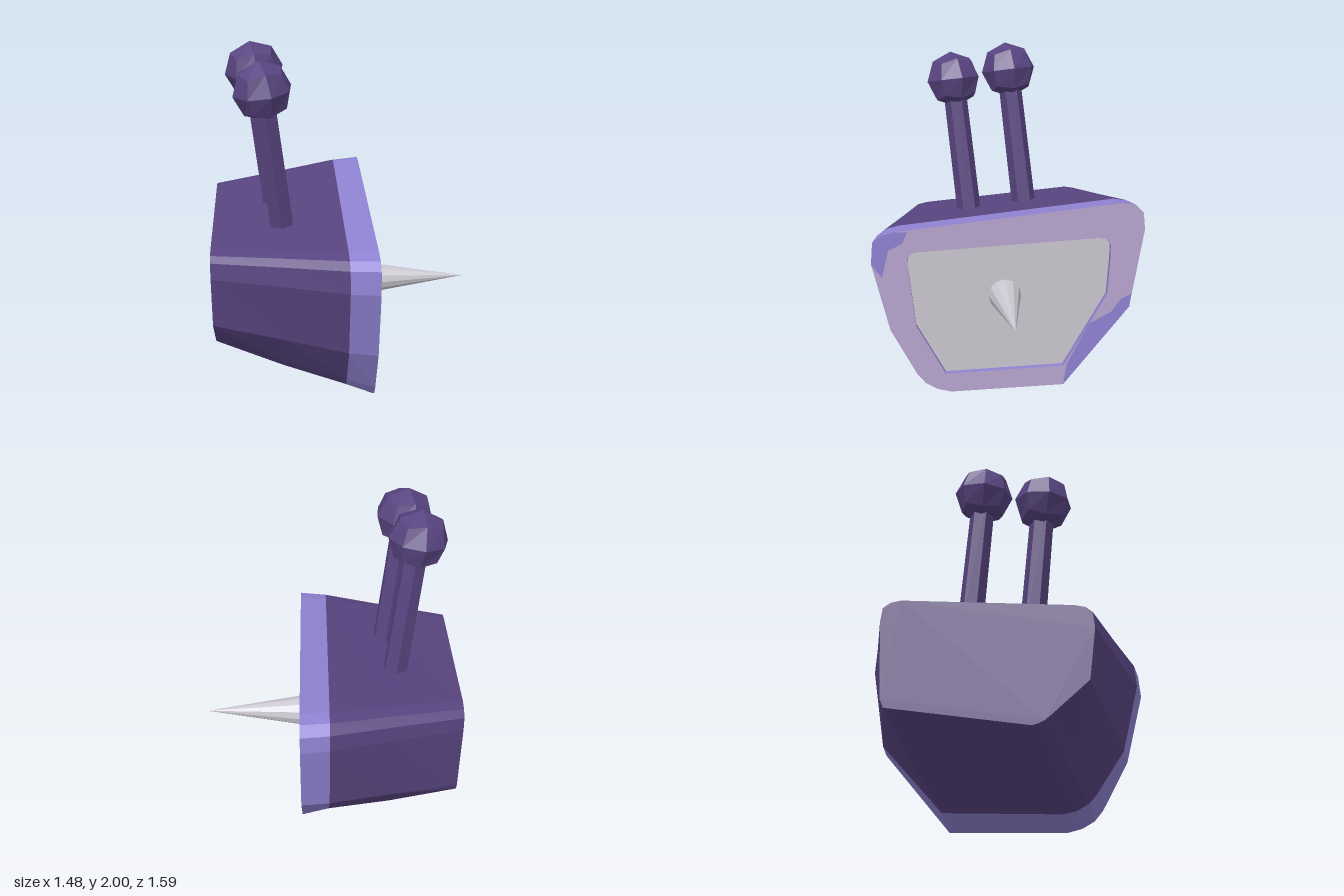
import * as THREE from 'three';

const mat = (name, color, extra = {}) => {
  const m = new THREE.MeshStandardMaterial({ color, ...extra });
  m.name = name;
  return m;
};

// Cross-sections as [z, y], clockwise seen from +x
const RIM = [[.80, .80], [.79, .93], [.74, .97], [.66, .99], [-.65, 1.13], [-.73, 1.12], [-.78, 1.07], [-.79, .97],
  [-.71, .50], [-.32, .02], [.35, 0], [.43, .02], [.50, .06], [.55, .12], [.70, .40]];
const BACK = [[.565, .82], [.555, .91], [.52, .94], [.46, .955], [-.45, 1.04], [-.51, 1.03], [-.55, 1.0], [-.56, .92],
  [-.54, .48], [-.52, .43], [.235, .30], [.27, .31], [.30, .325], [.33, .35], [.53, .53]];
const SCREEN = [[.59, .77], [.59, .83], [.57, .86], [.52, .868], [-.52, .925], [-.57, .915], [-.59, .88], [-.59, .80],
  [-.575, .58], [-.32, .14], [.38, .115], [.55, .42]];
// Worn-through patches on the bezel
const PATCHES = [
  [[.80, .80], [.79, .93], [.74, .97], [.66, .99], [.59, .985], [.62, .92], [.70, .88], [.74, .72]],
  [[-.72, .58], [-.71, .50], [-.32, .02], [-.34, .15], [-.47, .40], [-.60, .47], [-.66, .55]]];

const FRONT_X = .16, SCREEN_X = .12, BACK_X = -.74;
const mix = (a, b, t) => a.map((p, i) => [p[0] + (b[i][0] - p[0]) * t, p[1] + (b[i][1] - p[1]) * t]);

// Flat-faceted skin through sections [{ x, ring }]
function loft(sections) {
  const pos = [];
  for (let s = 0; s < sections.length - 1; s++) {
    const a = sections[s], b = sections[s + 1], n = a.ring.length;
    for (let i = 0; i < n; i++) {
      const j = (i + 1) % n;
      const P = (c, k) => [c.x, c.ring[k][1], c.ring[k][0]];
      pos.push(...P(a, i), ...P(b, i), ...P(a, j), ...P(a, j), ...P(b, i), ...P(b, j));
    }
  }
  const g = new THREE.BufferGeometry();
  g.setAttribute('position', new THREE.Float32BufferAttribute(pos, 3));
  g.computeVertexNormals();
  return g;
}

// Flat plate at x, facing +x (dir 1) or -x (dir -1)
function plate(ring, x, dir = 1, hole) {
  const pts = r => r.map(([z, y]) => new THREE.Vector2(-dir * z, y));
  const shape = new THREE.Shape(pts(ring));
  if (hole) shape.holes.push(new THREE.Path(pts(hole)));
  return new THREE.ShapeGeometry(shape).rotateY(dir * Math.PI / 2).translate(x, 0, 0);
}

export function createModel() {
  const model = new THREE.Group();
  const purple = mat('dark purple', 0x584480, { flatShading: true });
  const violet = mat('violet', 0x8f82d2);
  const lilac = mat('lilac', 0xb7a5d0);
  const grey = mat('pale grey', 0xcac7d0, { flatShading: true });

  const add = (name, geo, material, parent = model) => {
    const m = new THREE.Mesh(geo, material);
    m.name = name;
    parent.add(m);
    return m;
  };

  // Tapered cabinet
  const mid = mix(BACK, RIM, .45), neck = mix(BACK, RIM, .9);
  neck.forEach((p, i) => { if (i >= 9 && i <= 13) p[1] += .03; });
  add('cabinet', loft([{ x: BACK_X, ring: BACK }, { x: -.36, ring: mid }, { x: 0, ring: neck }]), purple);
  add('cabinetBack', plate(BACK, BACK_X, -1), purple);

  // Rim, bezel and recessed screen
  add('rim', loft([{ x: 0, ring: neck }, { x: FRONT_X, ring: RIM }]), violet);
  add('bezel', plate(RIM, FRONT_X, 1, SCREEN), lilac);
  PATCHES.forEach(p => add('bezelPatch', plate(p, FRONT_X + .002), violet));
  add('screenRecess', loft([{ x: FRONT_X, ring: SCREEN }, { x: SCREEN_X, ring: SCREEN }]), violet);
  add('screen', plate(SCREEN, SCREEN_X), grey);

  // Spike standing out of the screen
  const spike = add('spike', new THREE.ConeGeometry(.097, .62, 12), grey);
  spike.rotation.z = -Math.PI / 2;
  spike.position.set(.43, .58, .027);

  // Two antennae: hexagonal stalk with a faceted ball
  const up = new THREE.Vector3(0, 1, 0);
  const antennae = [
    { base: [-.345, .97, .205], ball: [-.44, 1.79, .29], turn: .3 },
    { base: [-.385, 1.0, -.14], ball: [-.485, 1.84, -.05], turn: .15 }];
  for (const { base, ball, turn } of antennae) {
    const antenna = new THREE.Group();
    antenna.name = 'antenna';
    model.add(antenna);
    const a = new THREE.Vector3(...base), b = new THREE.Vector3(...ball);
    const tilt = new THREE.Quaternion().setFromUnitVectors(up, b.clone().sub(a).normalize());

    const stalk = add('antennaStalk', new THREE.CylinderGeometry(.068, .073, a.distanceTo(b), 6), purple, antenna);
    stalk.position.copy(a).lerp(b, .5);
    stalk.quaternion.copy(tilt);

    // Cube pushed out to a sphere
    const geo = new THREE.BoxGeometry(1, 1, 1, 2, 2, 2);
    const p = geo.attributes.position, v = new THREE.Vector3();
    for (let i = 0; i < p.count; i++) {
      v.fromBufferAttribute(p, i).setLength(.166);
      p.setXYZ(i, v.x, v.y, v.z);
    }
    geo.computeVertexNormals();
    const knob = add('antennaBall', geo.rotateY(turn), purple, antenna);
    knob.position.copy(b);
    knob.quaternion.copy(tilt);
  }
  return model;
}
